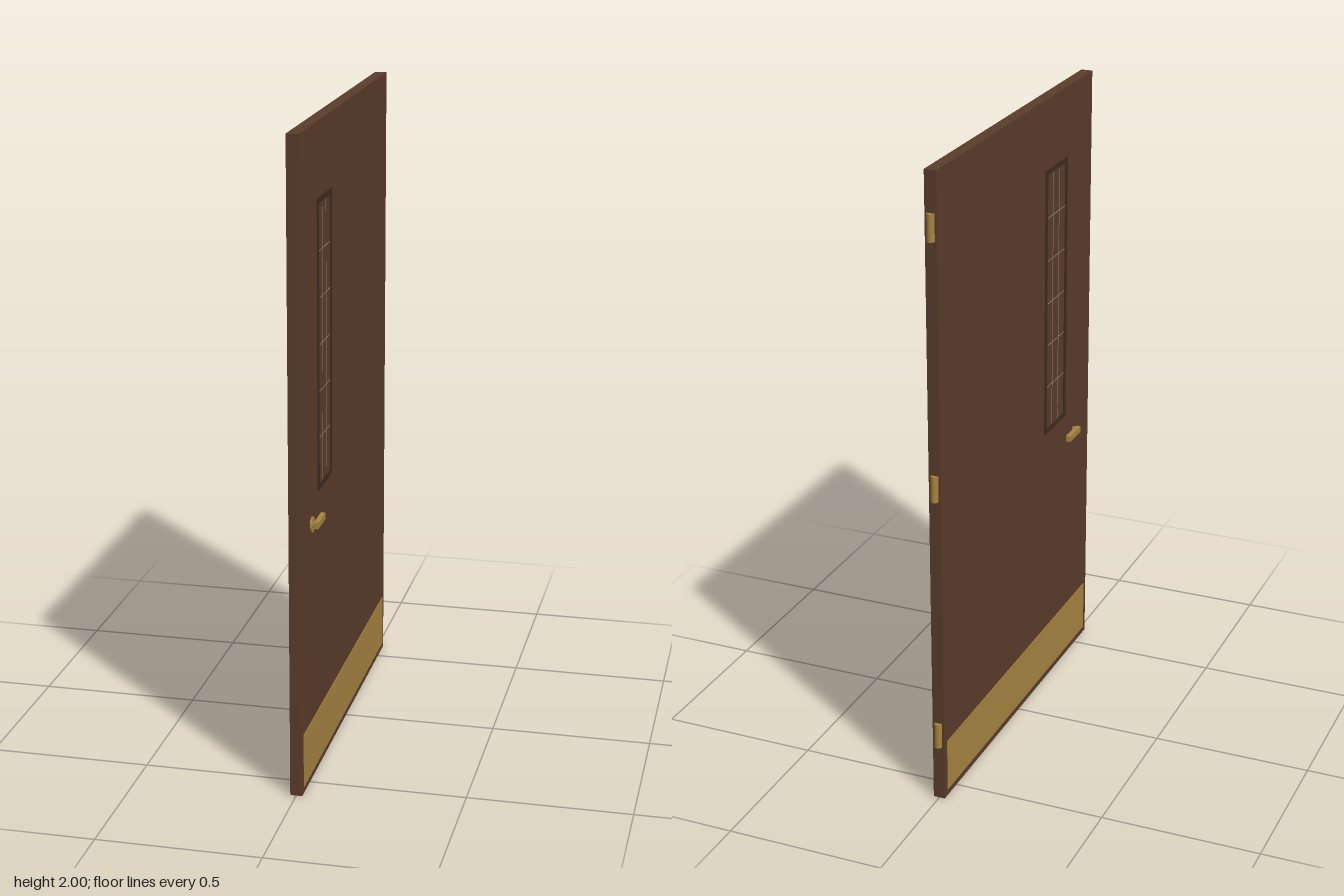
import * as THREE from 'three';

const material = (color) => new THREE.MeshStandardMaterial({ color });

export function createModel() {
  const model = new THREE.Group();
  model.name = 'door';
  const wood = material(0x5a3c2b);
  const trim = material(0x3e2a20);
  const brass = material(0xa68440);
  const wire = material(0x8c8580);

  const add = (name, geometry, mat, x, y, z, parent = model) => {
    const mesh = new THREE.Mesh(geometry, mat);
    mesh.name = name;
    mesh.position.set(x, y, z);
    parent.add(mesh);
    return mesh;
  };
  // Box given by its thickness about x = 0 and its y and z limits
  const slab = (name, mat, thick, y0, y1, z0, z1, parent) =>
    add(name, new THREE.BoxGeometry(thick, y1 - y0, z1 - z0), mat, 0, (y0 + y1) / 2, (z0 + z1) / 2, parent);

  // Door leaf, with kick plates on both faces
  slab('leaf', wood, 0.037, 0, 2, -0.588, 0.6);
  for (const side of [1, -1]) {
    add('kickPlate', new THREE.BoxGeometry(0.002, 0.17, 1.145), brass, side * 0.0195, 0.106, 0.0065);
  }

  // Narrow window: frame and wire grid, showing on both faces
  const win = new THREE.Group();
  win.name = 'window';
  model.add(win);
  const [y0, y1, z0, z1, w] = [0.897, 1.777, 0.209, 0.389, 0.016];
  slab('frameBottom', trim, 0.043, y0, y0 + w, z0, z1, win);
  slab('frameTop', trim, 0.043, y1 - w, y1, z0, z1, win);
  slab('frameBack', trim, 0.043, y0 + w, y1 - w, z0, z0 + w, win);
  slab('frameFront', trim, 0.043, y0 + w, y1 - w, z1 - w, z1, win);
  const t = 0.0015;
  for (let i = 1; i < 3; i++) {
    const z = z0 + w + (i / 3) * (z1 - z0 - 2 * w);
    slab('uprightWire', wire, 0.038, y0 + w, y1 - w, z - t, z + t, win);
  }
  for (let i = 1; i < 6; i++) {
    const y = y0 + w + (i / 6) * (y1 - y0 - 2 * w);
    slab('crossWire', wire, 0.038, y - t, y + t, z0 + w, z1 - w, win);
  }

  // Lever handles, one on each face
  for (const side of [1, -1]) {
    const handle = new THREE.Group();
    handle.name = side > 0 ? 'leftHandle' : 'rightHandle';
    model.add(handle);
    const stem = add('stem', new THREE.CylinderGeometry(0.01, 0.01, 0.02, 20), brass, side * 0.0275, 0.818, 0.466, handle);
    stem.rotation.z = Math.PI / 2;
    add('lever', new THREE.BoxGeometry(0.014, 0.02, 0.095), brass, side * 0.034, 0.818, 0.4285, handle);
  }
  // Round rose behind the left lever
  const rose = add('rose', new THREE.CylinderGeometry(0.024, 0.024, 0.006, 32), brass, 0.0205, 0.818, 0.466);
  rose.rotation.z = Math.PI / 2;

  // Hinge barrels on the back edge
  for (const y of [0.221, 1.043, 1.835]) {
    add('hinge', new THREE.CylinderGeometry(0.012, 0.012, 0.082, 20), brass, 0, y, -0.588);
  }
  return model;
}
